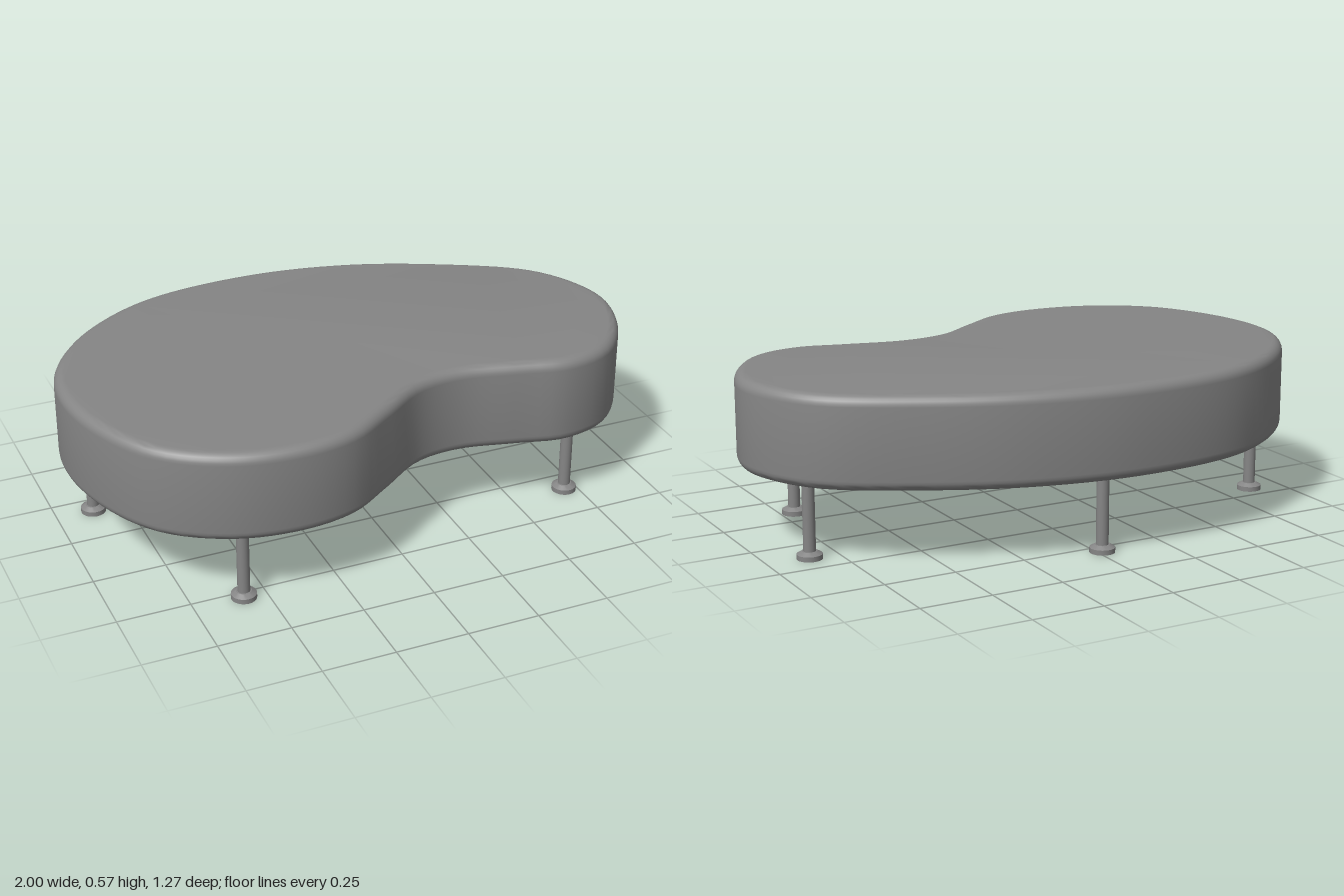
import * as THREE from 'three';
import { toCreasedNormals } from 'three/addons/utils/BufferGeometryUtils.js';

export function createModel() {
  const model = new THREE.Group();
  const material = new THREE.MeshStandardMaterial({ color: 0x858585 });

  // Kidney-shaped cushion: closed spline outline in plan (x, z), rounded edges
  const outline = [
    [-1, 0], [-0.962, -0.2], [-0.8, -0.42], [-0.525, -0.585], [-0.12, -0.636], [0.25, -0.58],
    [0.57, -0.45], [0.86, -0.27], [0.967, -0.104], [0.998, 0.056], [0.935, 0.254],
    [0.81, 0.4], [0.64, 0.447], [0.47, 0.41], [0.267, 0.368], [0.112, 0.392],
    [-0.048, 0.499], [-0.214, 0.604], [-0.406, 0.636], [-0.63, 0.597], [-0.836, 0.463], [-0.957, 0.243],
  ].map(([x, z]) => new THREE.Vector3(x, z, 0));
  const points = new THREE.CatmullRomCurve3(outline, true).getSpacedPoints(128).slice(0, -1);
  const shape = new THREE.Shape(points.map((p) => new THREE.Vector2(p.x, p.y)));
  const bottom = 0.26, top = 0.575, round = 0.036;
  const body = new THREE.ExtrudeGeometry(shape, {
    depth: top - bottom - 2 * round,
    bevelEnabled: true,
    bevelThickness: round,
    bevelSize: round,
    bevelOffset: -round,
    bevelSegments: 6,
  });
  body.rotateX(Math.PI / 2).translate(0, top - round, 0);
  const cushion = new THREE.Mesh(toCreasedNormals(body, 0.6), material);
  cushion.name = 'cushion';
  model.add(cushion);

  // Slim round legs, each with a small disc foot with a sloped upper edge
  const shaftGeometry = new THREE.CylinderGeometry(0.021, 0.021, 0.25, 24);
  shaftGeometry.translate(0, 0.145, 0);
  const footProfile = [[0, 0], [0.043, 0], [0.043, 0.017], [0.026, 0.027], [0, 0.027]]
    .map(([r, y]) => new THREE.Vector2(r, y));
  const footGeometry = toCreasedNormals(new THREE.LatheGeometry(footProfile, 24), 0.4);

  const legPositions = [[-0.577, 0.528], [0.703, 0.341], [0.853, -0.147], [-0.018, -0.547], [-0.868, -0.177]];
  for (const [x, z] of legPositions) {
    const leg = new THREE.Group();
    leg.name = 'leg';
    const shaft = new THREE.Mesh(shaftGeometry, material);
    shaft.name = 'legShaft';
    const foot = new THREE.Mesh(footGeometry, material);
    foot.name = 'legFoot';
    leg.add(shaft, foot);
    leg.position.set(x, 0, z);
    model.add(leg);
  }
  return model;
}
